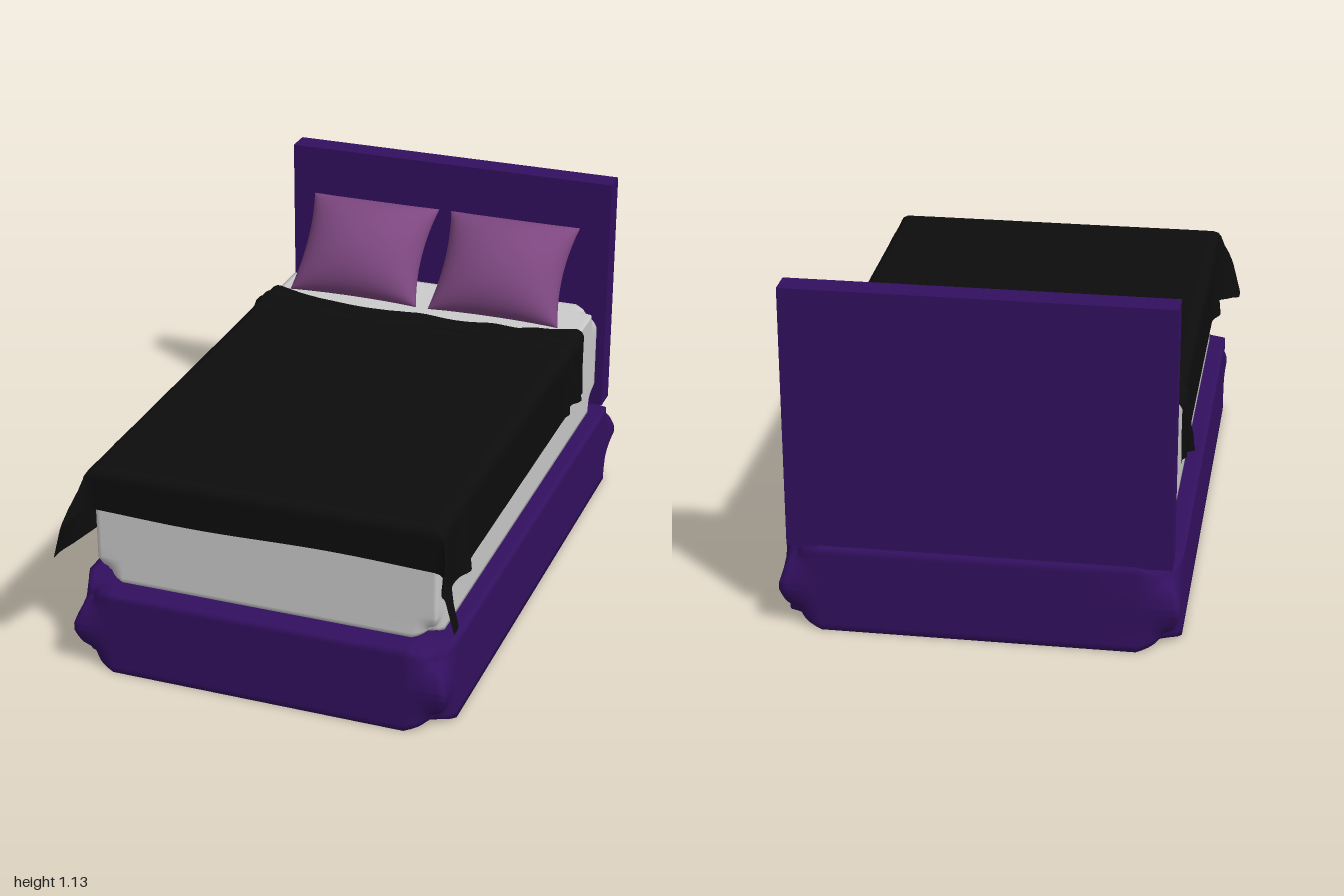
import * as THREE from 'three';
import { mergeVertices } from 'three/addons/utils/BufferGeometryUtils.js';

const CX = 0.02; // the bed's own centre line
const { clamp, lerp, smoothstep } = THREE.MathUtils;

// Moves every vertex by a rule, then welds and smooths the result
function reshape(geometry, rule) {
  const p = geometry.attributes.position;
  const v = new THREE.Vector3();
  for (let i = 0; i < p.count; i++) {
    rule(v.fromBufferAttribute(p, i));
    p.setXYZ(i, v.x, v.y, v.z);
  }
  geometry.deleteAttribute('uv');
  geometry.deleteAttribute('normal');
  const welded = mergeVertices(geometry, 1e-5);
  welded.computeVertexNormals();
  return welded;
}

// Box with straight edges whose eight corners are rounded off
function softCornerBox(w, h, d, r) {
  const half = [w / 2, h / 2, d / 2];
  return reshape(new THREE.BoxGeometry(2, 2, 2, 18, 18, 18), (v) => {
    const a = v.toArray();
    // the outer third of the segments lies within the corner radius
    const q = a.map((c) => clamp((Math.abs(c) - 1 / 3) * 1.5, 0, 1));
    const s = lerp(1, 1 / Math.max(1, Math.hypot(...q)), Math.min(...q));
    v.fromArray(a.map((c, k) => {
      const inner = half[k] - r;
      const size = q[k] > 0 ? inner + r * q[k] * s : Math.abs(c) * 3 * inner;
      return Math.sign(c) * size;
    }));
  });
}

// Plump cushion with pinched sides, leaning back on the headboard
function pillowGeometry() {
  return reshape(new THREE.BoxGeometry(2, 2, 2, 24, 24, 1), (p) => {
    const u = Math.sin(p.x * Math.PI / 2);
    const v = Math.sin(p.y * Math.PI / 2);
    const puff = Math.sqrt(Math.max(0, (1 - u * u) * (1 - v * v)));
    const t = puff * (p.z > 0 ? 0.125 : -0.05);
    const k = v * (1 - 0.04 * (1 - u * u));
    p.set(
      0.24 * u * (1 - 0.1 * (1 - v * v)),
      0.815 + 0.14 * k + 0.69 * t,
      -0.775 - 0.125 * k + 0.73 * t
    );
  });
}

// How far cloth goes out and down after running a length past an edge
function overhang(length, r) {
  const l = Math.max(0, length);
  if (l < r * Math.PI / 2) return [r * Math.sin(l / r), r * (1 - Math.cos(l / r))];
  return [r, l - r * Math.PI / 2 + r];
}

function blanketGeometry() {
  const hw = 0.555, r = 0.03, front = 0.865;
  const sideDrop = 0.245, frontDrop = 0.145;
  const hem = r * (Math.PI / 2 - 1);
  return reshape(new THREE.PlaneGeometry(2, 1, 90, 150), (p) => {
    const s = p.x * (hw + sideDrop + hem);
    const side = Math.sign(s);
    const edge = Math.min(1, Math.abs(s) / hw);
    const back = -0.56 - 0.085 * edge ** 3;
    const run = lerp(back, front + frontDrop + hem, 0.5 - p.y);
    const [outX, downX] = overhang(Math.abs(s) - hw, r);
    const [outZ, downZ] = overhang(run - front, r);
    const dx = downX / sideDrop, dz = downZ / frontDrop;

    let x = Math.min(Math.abs(s), hw) + outX;
    let y = 0.685 - Math.max(downX, downZ);
    let z = Math.min(run, front) + outZ;

    // front corners flare outward and droop
    const flare = smoothstep(run, 0.78, 0.98);
    x += 0.075 * dx * flare;
    y -= 0.04 * dx * flare;
    z += 0.1 * smoothstep(downX, 0, 0.12) * dz;

    // gathered ridges near the head end, and a loose fold near the foot
    const gather = Math.exp(-(((run + 0.535) / 0.06) ** 2));
    const ridge = gather * (0.5 + 0.5 * Math.sin(run * 110 + 2.5 * Math.sin(s * 9)));
    y += 0.014 * ridge * (1 - dx);
    x += (0.012 + 0.025 * dx) * ridge * smoothstep(downX, 0, 0.04);
    x += 0.025 * dx * Math.exp(-(((run - 0.68) / 0.04) ** 2));
    y += 0.035 * dx * (1 - smoothstep(run, -0.53, -0.45));
    y += 0.005 * dz * Math.sin(s * 7);
    p.set(side * x, y, z);
  });
}

export function createModel() {
  const bed = new THREE.Group();
  bed.name = 'bed';
  const purple = new THREE.MeshStandardMaterial({ color: 0x331060 });
  const plum = new THREE.MeshStandardMaterial({ color: 0x7d4780 });
  const grey = new THREE.MeshStandardMaterial({ color: 0xcccccc });
  const black = new THREE.MeshStandardMaterial({ color: 0x0d0d0d, side: THREE.DoubleSide });

  const add = (name, geometry, material, x, y, z) => {
    const mesh = new THREE.Mesh(geometry, material);
    mesh.name = name;
    mesh.position.set(x, y, z);
    bed.add(mesh);
  };

  // Frame
  add('base', softCornerBox(1.24, 0.285, 1.96, 0.13), purple, CX, 0.1425, -0.02);
  add('headboard', new THREE.BoxGeometry(1.19, 0.85, 0.085), purple, CX, 0.705, -0.9425);

  // Bedding
  add('mattress', softCornerBox(1.13, 0.38, 1.77, 0.08), grey, CX, 0.475, -0.01);
  add('blanket', blanketGeometry(), black, CX, 0, 0);
  const pillow = pillowGeometry();
  add('rightPillow', pillow, plum, -0.255, 0, 0);
  add('leftPillow', pillow, plum, 0.268, 0, 0);
  return bed;
}
